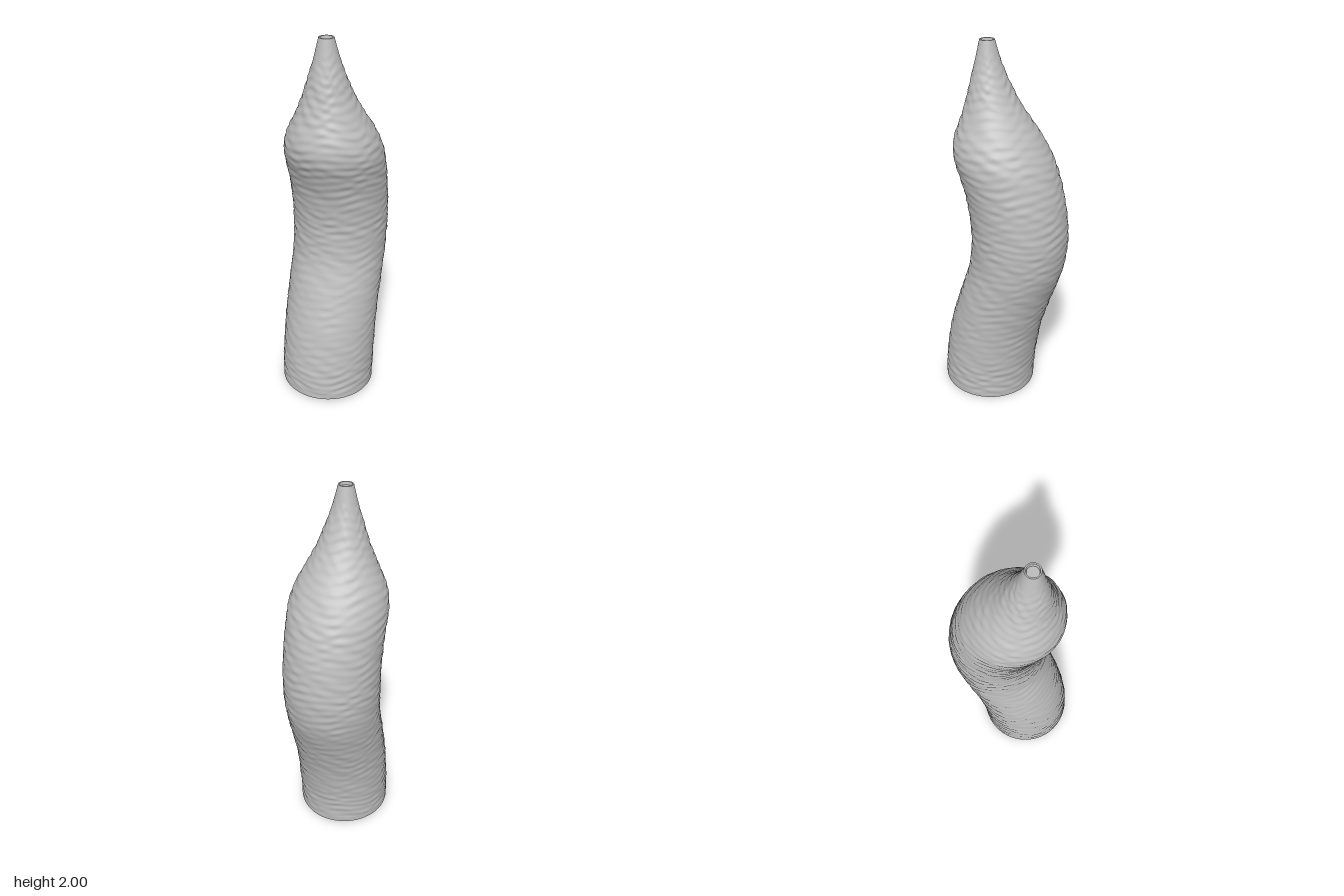
import * as THREE from 'three';

// Body stations: height, centre z, radius
const stations = [
  [0, 0.095, 0.26], [0.1, 0.091, 0.26], [0.2, 0.081, 0.26], [0.4, 0.045, 0.258],
  [0.6, -0.014, 0.257], [0.8, -0.078, 0.257], [0.95, -0.094, 0.259], [1.05, -0.09, 0.259],
  [1.2, -0.066, 0.259], [1.32, -0.03, 0.26], [1.4, 0, 0.258], [1.47, 0.023, 0.243],
  [1.53, 0.036, 0.219], [1.6, 0.049, 0.182], [1.7, 0.067, 0.134], [1.8, 0.082, 0.097],
  [1.9, 0.09, 0.064], [2, 0.094, 0.038],
];
const SIDES = 96;

// Fine, sideways-stretched ripples of the hand-worked surface
function ripple(a, y) {
  const fade = THREE.MathUtils.smoothstep(y, 0, 0.05) * (1 - THREE.MathUtils.smoothstep(y, 1.75, 2));
  const n = Math.sin(y * 150 + 2.2 * Math.sin(a * 3 + y * 7)) +
    Math.sin(y * 97 + 2.7 * Math.sin(a * 5 - y * 11 + 1)) +
    Math.sin(a * 9 + y * 61 + 2 * Math.sin(y * 23 + a * 2));
  return 0.0011 * n * fade;
}

// Skin a stack of horizontal rings; the seam is shared so the shading is smooth
function skinRings(rings) {
  const pos = [], index = [];
  rings.forEach(([y, cz, r]) => {
    for (let i = 0; i < SIDES; i++) {
      const a = (i / SIDES) * Math.PI * 2;
      const rr = r > 0 ? r + ripple(a, y) : 0;
      const z = cz + rr * Math.cos(a);
      // the base is cut slightly higher at the front
      const lift = 0.012 * Math.max(0, 1 - y / 0.1) * (z + 0.165) / 0.52;
      pos.push(rr * Math.sin(a), y + lift, z);
    }
  });
  for (let j = 0; j < rings.length - 1; j++) {
    for (let i = 0; i < SIDES; i++) {
      const k = (i + 1) % SIDES;
      const a = j * SIDES + i, b = j * SIDES + k, c = b + SIDES, d = a + SIDES;
      if (rings[j][2] > 0) index.push(a, b, c);
      if (rings[j + 1][2] > 0) index.push(a, c, d);
      else index.push(a, b, d);
    }
  }
  const g = new THREE.BufferGeometry();
  g.setAttribute('position', new THREE.Float32BufferAttribute(pos, 3));
  g.setIndex(index);
  g.computeVertexNormals();
  return g;
}

export function createModel() {
  const group = new THREE.Group();
  group.name = 'curvedSpire';
  const clay = new THREE.MeshStandardMaterial({ color: 0xbdbdbd });
  clay.name = 'light grey clay';

  const add = (name, rings) => {
    const mesh = new THREE.Mesh(skinRings(rings), clay);
    mesh.name = name;
    group.add(mesh);
  };

  // S-bent body narrowing to the neck
  const curve = new THREE.CatmullRomCurve3(stations.map((s) => new THREE.Vector3(...s)));
  add('body', curve.getPoints(260).map((p) => [p.y, p.z, p.z === 0 ? 0 : p.z]).map((_, i, all) => {
    const p = curve.getPoint(i / (all.length - 1));
    return [p.x, p.y, p.z];
  }));

  // Flat underside
  add('base', [[0, 0.095, 0], [0, 0.095, 0.26]]);

  // Small rim and shallow hollow at the tip
  add('tipRim', [[2, 0.094, 0.038], [2, 0.094, 0.031]]);
  add('tipWall', [[2, 0.094, 0.031], [1.985, 0.094, 0.028]]);
  add('tipFloor', [[1.985, 0.094, 0.028], [1.985, 0.094, 0]]);
  return group;
}
